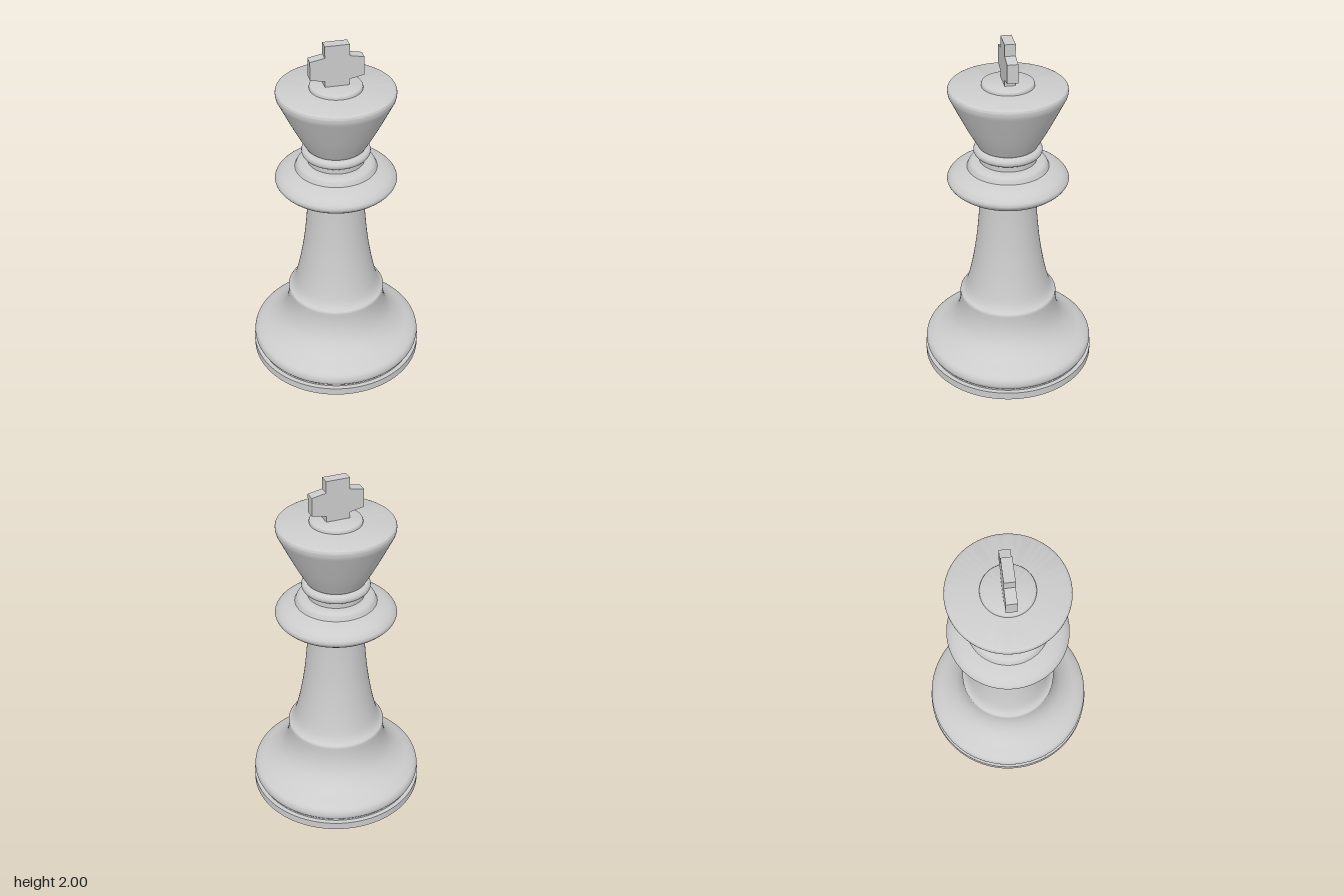
import * as THREE from 'three';
import { toCreasedNormals } from 'three/addons/utils/BufferGeometryUtils.js';

const material = new THREE.MeshStandardMaterial({ color: 0xcccccc });
const SEGMENTS = 96;

const points = (pairs) => pairs.map(([r, y]) => new THREE.Vector2(r, y));

// Smooth curve through [radius, height] pairs
const curve = (pairs, n = 24) => new THREE.SplineCurve(points(pairs)).getPoints(n);

// Half-ellipse bulging outwards, from bottom to top
function bead(r, y, outX, halfY, n = 16) {
  return Array.from({ length: n + 1 }, (_, i) => {
    const a = -Math.PI / 2 + (Math.PI * i) / n;
    return new THREE.Vector2(r + outX * Math.cos(a), y + halfY * Math.sin(a));
  });
}

// Turned part: profile runs from bottom to top
function turned(name, profile) {
  const geometry = toCreasedNormals(new THREE.LatheGeometry(profile, SEGMENTS), 0.6);
  const mesh = new THREE.Mesh(geometry, material);
  mesh.name = name;
  return mesh;
}

export function createModel() {
  const king = new THREE.Group();
  king.name = 'chessKing';

  // Flat base disc with a round recess underneath
  king.add(turned('basePlate', points([
    [0, 0.04], [0.306, 0.04], [0.306, 0], [0.503, 0], [0.503, 0.046], [0.478, 0.046],
  ])));

  // Rounded foot sweeping up to a straight neck
  king.add(turned('foot', [
    ...points([[0.478, 0.046], [0.478, 0.058]]),
    ...curve([
      [0.482, 0.06], [0.495, 0.078], [0.498, 0.1], [0.488, 0.127], [0.455, 0.15],
      [0.405, 0.176], [0.36, 0.21], [0.322, 0.255], [0.297, 0.31], [0.285, 0.37], [0.283, 0.43],
    ], 50),
    ...points([[0.279, 0.436], [0.25, 0.436]]),
  ]));

  // Tapering column
  king.add(turned('stem', curve([
    [0.279, 0.436], [0.26, 0.455], [0.243, 0.49], [0.225, 0.555], [0.205, 0.65],
    [0.184, 0.78], [0.17, 0.91], [0.162, 1.02], [0.158, 1.12],
  ], 40)));

  // Wide collar
  king.add(turned('collar', [
    ...points([[0.15, 1.112], [0.19, 1.112]]),
    ...curve([
      [0.2, 1.113], [0.255, 1.127], [0.308, 1.154], [0.339, 1.192],
      [0.32, 1.226], [0.28, 1.25], [0.228, 1.267],
    ], 30),
  ]));

  // Step above the collar, and the narrow neck
  king.add(turned('collarStep', [
    ...points([[0.228, 1.267]]),
    ...curve([[0.225, 1.272], [0.217, 1.29], [0.203, 1.302], [0.185, 1.307]], 12),
    ...points([[0.158, 1.307]]),
  ]));
  king.add(turned('neck', points([[0.158, 1.3], [0.158, 1.4]])));

  // Ring under the head
  king.add(turned('neckRing', [
    ...points([[0.14, 1.342]]),
    ...bead(0.163, 1.369, 0.027, 0.026),
    ...points([[0.14, 1.395]]),
  ]));

  // Flared head with a rounded rim
  king.add(turned('head', [
    ...points([[0.156, 1.392]]),
    ...curve([[0.165, 1.4], [0.215, 1.49], [0.265, 1.59], [0.318, 1.7]], 16),
    ...curve([[0.321, 1.713], [0.322, 1.73], [0.317, 1.742], [0.304, 1.748]], 12),
    ...points([[0, 1.748]]),
  ]));

  // Small raised button
  king.add(turned('headButton', [
    ...points([[0.143, 1.745], [0.143, 1.756]]),
    ...curve([[0.143, 1.756], [0.139, 1.766], [0.13, 1.77]], 6),
    ...points([[0, 1.77]]),
  ]));

  // Cross whose arms narrow slightly towards their ends
  const half = [[0.066, 1.76], [0.066, 1.803], [0.145, 1.818], [0.145, 1.921], [0.066, 1.936], [0.066, 2]];
  const outline = [...half, ...half.map(([x, y]) => [-x, y]).reverse()];
  const crossGeometry = new THREE.ExtrudeGeometry(new THREE.Shape(points(outline)), {
    depth: 0.058, bevelEnabled: false,
  });
  crossGeometry.translate(0, 0, -0.029);
  const cross = new THREE.Mesh(crossGeometry, material);
  cross.name = 'cross';
  king.add(cross);

  return king;
}
